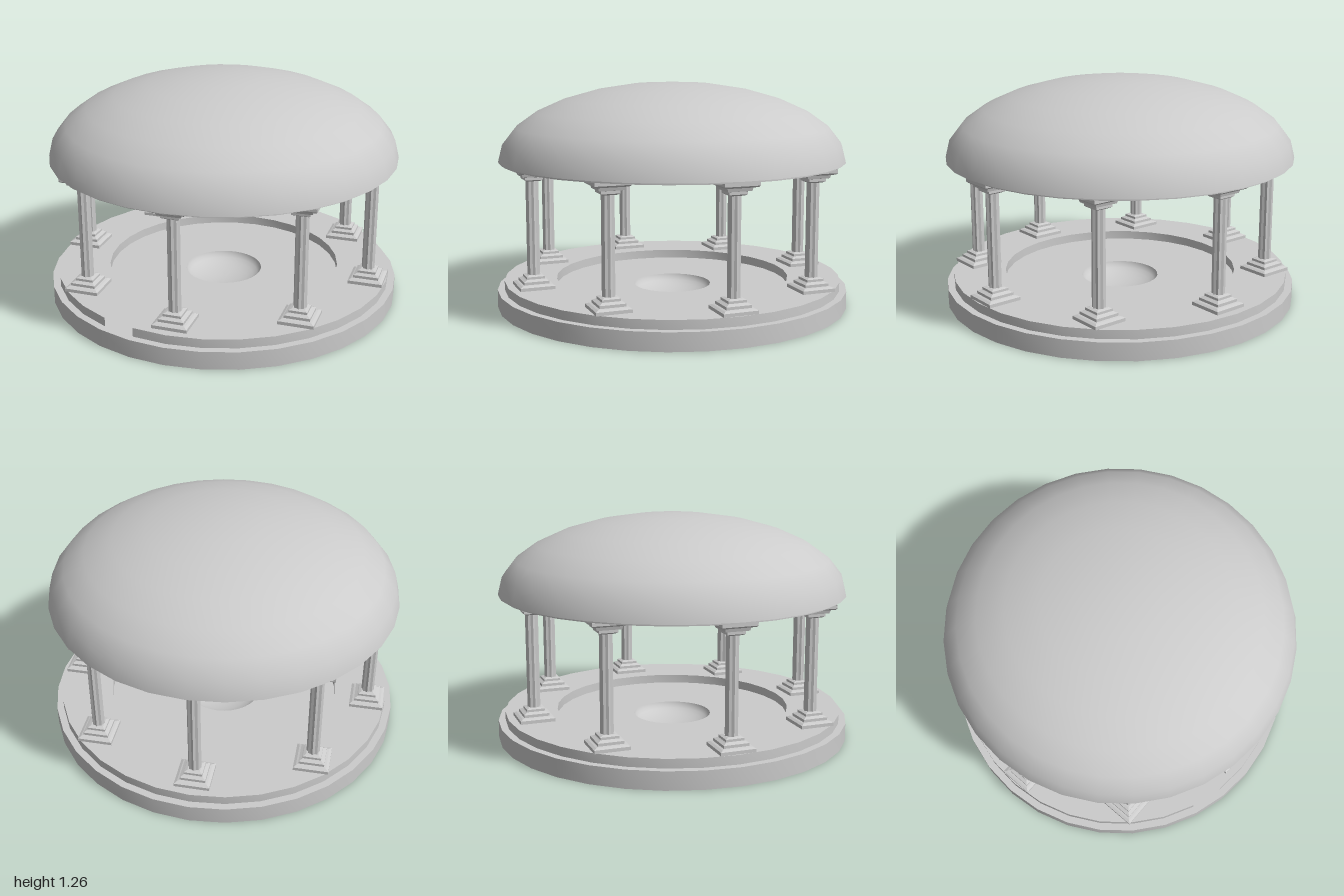
import * as THREE from 'three';
import { toCreasedNormals } from 'three/addons/utils/BufferGeometryUtils.js';

const material = new THREE.MeshStandardMaterial({ color: 0xcccccc, side: THREE.DoubleSide });
const SEGMENTS = 32;

function part(name, geometry, parent) {
  const mesh = new THREE.Mesh(geometry, material);
  mesh.name = name;
  parent.add(mesh);
  return mesh;
}

function lathe(points, segments = SEGMENTS, crease = 0.75, start = 0, length = Math.PI * 2) {
  const profile = points.map(([r, y]) => new THREE.Vector2(r, y));
  return toCreasedNormals(new THREE.LatheGeometry(profile, segments, start, length), crease);
}

// Quarter-ellipse profile from the rim (radius r, height y) to the axis
function arc(r, y, height, steps) {
  return Array.from({ length: steps + 1 }, (_, i) => {
    const t = (i / steps) * Math.PI / 2;
    return [i === steps ? 0 : r * Math.cos(t), y + height * Math.sin(t)];
  });
}

// Square stepped block: profile of half-widths swept round four sides
function squareBlock(points) {
  const geometry = lathe(points.map(([h, y]) => [h * Math.SQRT2, y]), 4, 0.1);
  return geometry.rotateY(Math.PI / 4);
}

// Eight-fluted shaft: every other edge of a 16-sided cylinder is pulled inward
function flutedShaft(radius, depth, bottom, top) {
  const geometry = new THREE.CylinderGeometry(radius, radius, top - bottom, 16, 1, true);
  const p = geometry.attributes.position;
  for (let i = 0; i < p.count; i++) {
    const step = Math.round(Math.atan2(p.getX(i), p.getZ(i)) / (Math.PI / 8));
    const s = step % 2 === 0 ? 1 : 1 - depth;
    p.setXYZ(i, p.getX(i) * s, p.getY(i), p.getZ(i) * s);
  }
  geometry.translate(0, (top + bottom) / 2, 0);
  return toCreasedNormals(geometry, 0.1);
}

export function createModel() {
  const model = new THREE.Group();
  model.name = 'domedPavilion';

  // Round base with a shallow bowl sunk in the middle of the floor
  const bowl = arc(0.22, 0.1, -0.075, 7);
  part('base', lathe([[0, 0], [1, 0], [1, 0.1], ...bowl]), model);

  // Raised ring the columns stand on, one outer facet left open at the front
  const facet = Math.PI * 2 / SEGMENTS;
  part('stepTop', lathe([[0.96, 0.15], [0.665, 0.15], [0.665, 0.1]]), model);
  part('stepRim', lathe([[0.96, 0.1], [0.96, 0.15]], SEGMENTS - 1, 0.75,
    -facet, Math.PI * 2 - facet), model);

  // Columns, square plinth and capital all facing the same way
  const plinth = squareBlock([[0.096, 0.15], [0.096, 0.168], [0.082, 0.175], [0.07, 0.178],
    [0.07, 0.193], [0.055, 0.2], [0.05, 0.203], [0.05, 0.216], [0.034, 0.222], [0, 0.222]]);
  const capital = squareBlock([[0, 0.742], [0.036, 0.742], [0.05, 0.75], [0.05, 0.765],
    [0.065, 0.768], [0.07, 0.785], [0.09, 0.79], [0.096, 0.797], [0.096, 0.815]]);
  const shaft = flutedShaft(0.036, 0.16, 0.22, 0.745);
  for (let i = 0; i < 8; i++) {
    const a = i * Math.PI / 4;
    const column = new THREE.Group();
    column.name = 'column' + (i + 1);
    column.position.set(0.855 * Math.sin(a), 0, 0.817 * Math.cos(a));
    part('plinth', plinth, column);
    part('shaft', shaft, column);
    part('capital', capital, column);
    model.add(column);
  }

  // Ring beam under the dome
  part('ringBeam', lathe([[0.665, 0.815], [0.965, 0.815], [0.965, 0.865],
    [0.665, 0.865], [0.665, 0.815]]), model);

  // Hollow dome: inner face down to the rim, outer face back up
  const inner = arc(0.95, 0.825, 0.405, 7).reverse();
  part('dome', lathe([...inner, ...arc(0.98, 0.825, 0.437, 7)]), model);

  return model;
}
